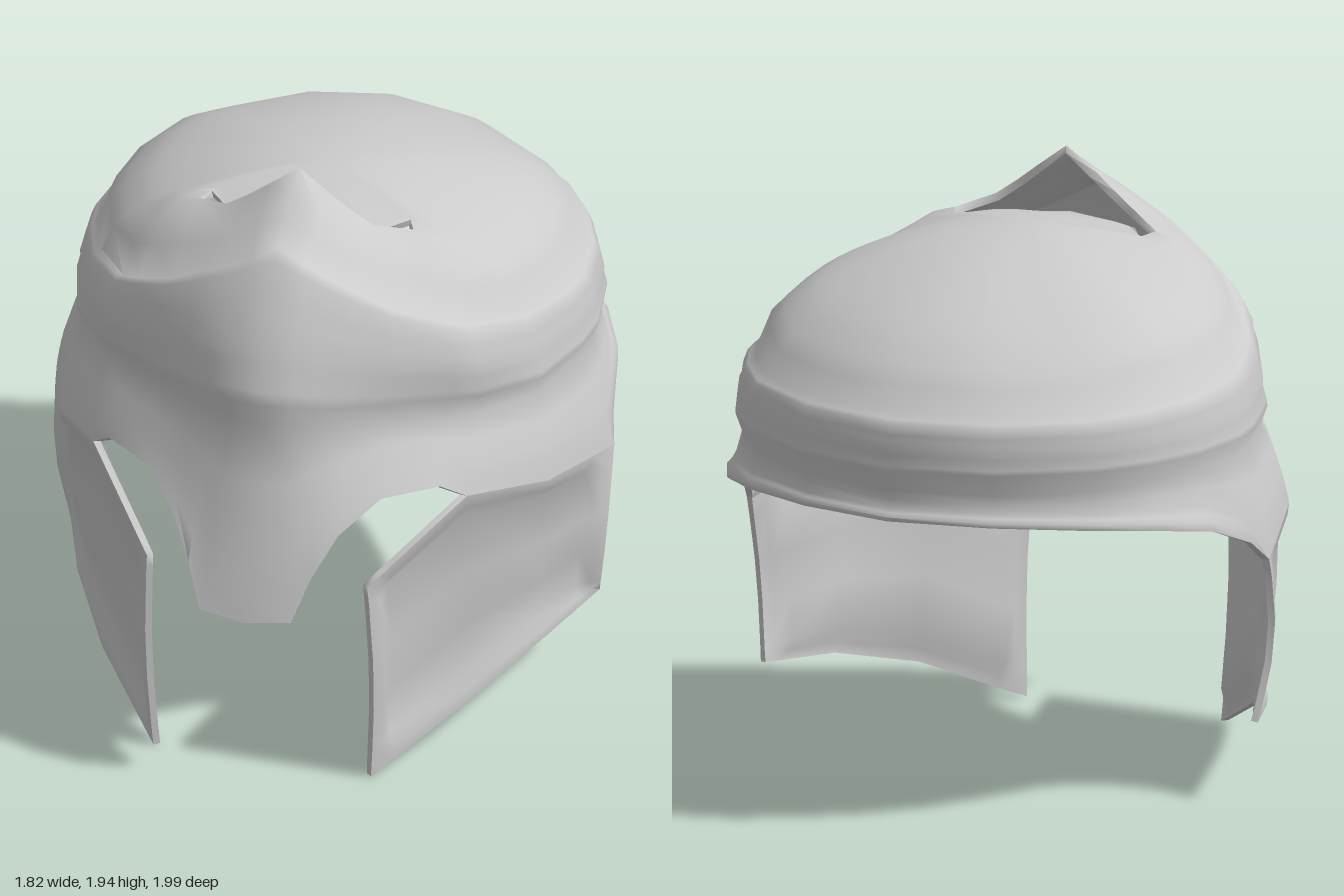
import * as THREE from 'three';
import { mergeVertices, toCreasedNormals } from 'three/addons/utils/BufferGeometryUtils.js';

const material = new THREE.MeshStandardMaterial({ color: 0xcccccc, side: THREE.DoubleSide });
const lerp = THREE.MathUtils.lerp;
const mix = (a, b, t) => a.map((v, i) => lerp(v, b[i], t));
const push = (p, k) => [p[0] * (1 + k), p[1], p[2] * (1 + k)];
const mirror = ([x, y, z]) => [-x, y, z];

// Half outlines, from the front centre round the left side to the back centre.
// Lower edge: nose guard, eye opening, cheek hinge, neck guard
const LOWER = [[0, .65, .995], [.15, .66, .97], [.2, .8, .92], [.27, .93, .85], [.38, 1.02, .74],
  [.54, 1.02, .62], [.61, .96, .56], [.8, .88, .28], [.91, .8, -.1], [.885, .87, -.18],
  [.855, .95, -.38], [.77, .985, -.56], [.61, 1.01, -.74], [.33, 1.03, -.92], [0, 1.035, -1]];
// Groove below the brow band
const GROOVE = [[0, 1.27, .8], [.1, 1.265, .775], [.17, 1.26, .745], [.26, 1.24, .69], [.38, 1.22, .6],
  [.53, 1.19, .48], [.6, 1.18, .41], [.74, 1.15, .2], [.805, 1.15, -.03], [.82, 1.14, -.16],
  [.785, 1.14, -.38], [.71, 1.135, -.55], [.59, 1.13, -.71], [.325, 1.13, -.89], [0, 1.13, -.97]];
// Top of the band, rising to a point at the front
const BAND_TOP = [[0, 1.79, .58], [.09, 1.745, .585], [.16, 1.71, .585], [.24, 1.67, .575], [.36, 1.6, .54],
  [.5, 1.53, .46], [.57, 1.49, .4], [.7, 1.42, .19], [.77, 1.39, -.03], [.785, 1.38, -.16],
  [.76, 1.37, -.37], [.69, 1.365, -.54], [.58, 1.36, -.7], [.32, 1.36, -.88], [0, 1.36, -.95]];
// Edge of the peaked crest, and the dome edge beneath it (front stations only)
const CREST = [[0, 1.94, .33], [.1, 1.865, .335], [.17, 1.81, .33], [.24, 1.76, .32], [.35, 1.72, .25],
  [.42, 1.7, .24], [.48, 1.66, .22]];
const DOME_EDGE = [[0, 1.725, .315], [.09, 1.72, .315], [.16, 1.72, .305], [.235, 1.715, .29], [.325, 1.715, .19],
  [.385, 1.705, .2], [.44, 1.685, .19]];
const BAND_Y = [1.35, 1.345, 1.335, 1.32, 1.3, 1.27, 1.25, 1.21, 1.2, 1.2, 1.2, 1.2, 1.2, 1.2, 1.2];
const BAND_FOOT = GROOVE.map((p, s) => { const q = push(p, .02); q[1] = BAND_Y[s]; return q; });
const APEX = [0, 1.77, 0];

// Point on the rounded dome at radius r (1 = band top, 0 = apex)
function domePoint(s, r) {
  const h = BAND_TOP[s], power = s > 11 ? .75 : .61;
  return [h[0] * r, h[1] + (APEX[1] - h[1]) * Math.pow(1 - r * r, power), h[2] * r];
}

// Turn a grid of points into a thin solid sheet with rims on all open edges
function sheet(name, rows, { closed = false, skip = () => false, thickness = .025 } = {}) {
  const n = rows[0].length, faces = [];
  for (let r = 0; r < rows.length - 1; r++) {
    for (let c = 0; c < (closed ? n : n - 1); c++) {
      if (skip(r, c)) continue;
      const d = (c + 1) % n;
      const [a, b, e, f] = [r * n + c, (r + 1) * n + c, (r + 1) * n + d, r * n + d];
      faces.push(a, b, e, a, e, f);
    }
  }
  let geo = new THREE.BufferGeometry();
  geo.setAttribute('position', new THREE.Float32BufferAttribute(rows.flat(2), 3));
  geo.setIndex(faces);
  geo = mergeVertices(geo, 1e-4);
  const idx = geo.index.array, tris = [];
  for (let i = 0; i < idx.length; i += 3) {
    const t = [idx[i], idx[i + 1], idx[i + 2]];
    if (new Set(t).size === 3) tris.push(t);
  }
  geo.setIndex(tris.flat());
  geo.computeVertexNormals();
  const pos = geo.attributes.position, nor = geo.attributes.normal, m = pos.count;
  const points = [...pos.array], out = tris.flat(), edges = new Set();
  for (let i = 0; i < m * 3; i++) points.push(pos.array[i] - nor.array[i] * thickness);
  for (const [a, b, c] of tris) {
    out.push(a + m, c + m, b + m);
    edges.add(a + '_' + b).add(b + '_' + c).add(c + '_' + a);
  }
  for (const t of tris) {
    for (let k = 0; k < 3; k++) {
      const a = t[k], b = t[(k + 1) % 3];
      if (!edges.has(b + '_' + a)) out.push(b, a, a + m, b, a + m, b + m);
    }
  }
  const solid = new THREE.BufferGeometry();
  solid.setAttribute('position', new THREE.Float32BufferAttribute(points, 3));
  solid.setIndex(out);
  const mesh = new THREE.Mesh(toCreasedNormals(solid, 1.4), material);
  mesh.name = name;
  return mesh;
}

// Helmet bowl: dome, crest, layered brow band, face opening and neck guard
function bowl() {
  const halves = [];
  const ring = (fn) => halves.push(LOWER.map((_, s) => fn(s)));
  const crest = (s) => CREST[s] ?? domePoint(s, .8);
  const edge = (s) => DOME_EDGE[s] ?? domePoint(s, .75);

  // Dome from the apex to the edge under the crest
  for (const t of [1, .8, .6, .4, .2, .08]) {
    ring((s) => {
      const p = mix(edge(s), APEX, t);
      p[1] = lerp(edge(s)[1], APEX[1], 1 - (1 - t) ** 2);
      return p;
    });
  }
  ring(edge);
  const edgeRow = halves.length - 1;
  ring(crest);
  // Crest slope at the front, lower dome elsewhere
  for (const r of [.87, .93]) {
    ring((s) => {
      if (s > 6) return domePoint(s, r);
      const t = (1 - r) / .2, p = mix(BAND_TOP[s], CREST[s], t);
      p[1] += [0, .012, .018, .022, .025, .025, .025][s] * Math.sin(Math.PI * t);
      return p;
    });
  }
  // Small step where the dome meets the band
  ring((s) => {
    const p = push(BAND_TOP[s], -.02);
    p[1] += s > 6 ? .015 : -.005;
    return p;
  });
  // Layered band
  const steps = [[0, .008], [.07, .014], [.28, .013], [.4, .004], [.58, .01], [.7, .001], [.9, .008], [1, .006]];
  for (const [t, k] of steps) {
    ring((s) => push(mix(BAND_TOP[s], BAND_FOOT[s], t), k + (s < 7 ? .035 : .01) * Math.sin(Math.PI * t)));
  }
  // Skirt, ending in a rolled lip at the neck
  for (const [t, neck] of [[0, 0], [.3, -.01], [.6, -.014], [.72, -.01], [.84, .002], [1, -.01]]) {
    ring((s) => push(mix(GROOVE[s], LOWER[s], t), s > 9 ? neck : s > 5 ? .015 * Math.sin(Math.PI * t) : 0));
  }

  const rows = halves.map((h) => [...h, ...h.slice(1, -1).reverse().map(mirror)]);
  // The crest stands open towards the dome
  return sheet('helmetBowl', rows, { closed: true, skip: (r, c) => r === edgeRow && (c < 4 || c > 23) });
}

// Front of the dome, curling down inside the crest, deepest at its two ends
function domeTongue() {
  const half = DOME_EDGE.slice(0, 4);
  const line = [...half.slice(1).reverse().map(mirror), ...half];
  const curl = [[0, 0, 1], [.05, .02, 1], [.08, .08, 1.05], [.07, .16, 1.15], [.04, .25, 1.3]];
  return sheet('domeTongue', curl.map(([dz, dy, k]) => line.map(
    ([x, y, z]) => [x * k, y - dy * (.4 + 2.5 * Math.abs(x)), z + dz])));
}

// Cheek guard: a curved plate with a raised frame
function cheekGuard(name, side) {
  const stops = [0, .4, .7, 1];
  const top = [[.36, .74, .83], LOWER[6], LOWER[7], LOWER[8]];
  const bottom = [[.355, 0, .77], [.6, .155, .49], [.76, .235, .2], [.865, .26, -.09]];
  const along = (pts, u) => {
    const i = u < .4 ? 0 : u < .7 ? 1 : 2;
    return mix(pts[i], pts[i + 1], (u - stops[i]) / (stops[i + 1] - stops[i]));
  };
  const us = [0, .05, .1, .4, .7, .9, .95, 1], vs = [0, .06, .12, .4, .65, .88, .94, 1];
  const rows = vs.map((v, j) => {
    const row = us.map((u, i) => {
      const p = mix(along(top, u), along(bottom, u), v);
      const inset = Math.min(i, j, us.length - 1 - i, vs.length - 1 - j);
      const depth = inset === 0 ? 0 : inset === 1 ? .006 : .036;
      const bow = Math.sin(Math.PI * v);
      return [p[0] - .8 * depth + .015 * bow, p[1], p[2] - .55 * depth + .05 * bow * u * u];
    });
    return side > 0 ? row : row.map(mirror).reverse();
  });
  return sheet(name, rows, { thickness: .022 });
}

export function createModel() {
  const group = new THREE.Group();
  group.name = 'helmet';
  group.add(bowl(), domeTongue(), cheekGuard('leftCheekGuard', 1), cheekGuard('rightCheekGuard', -1));
  return group;
}
